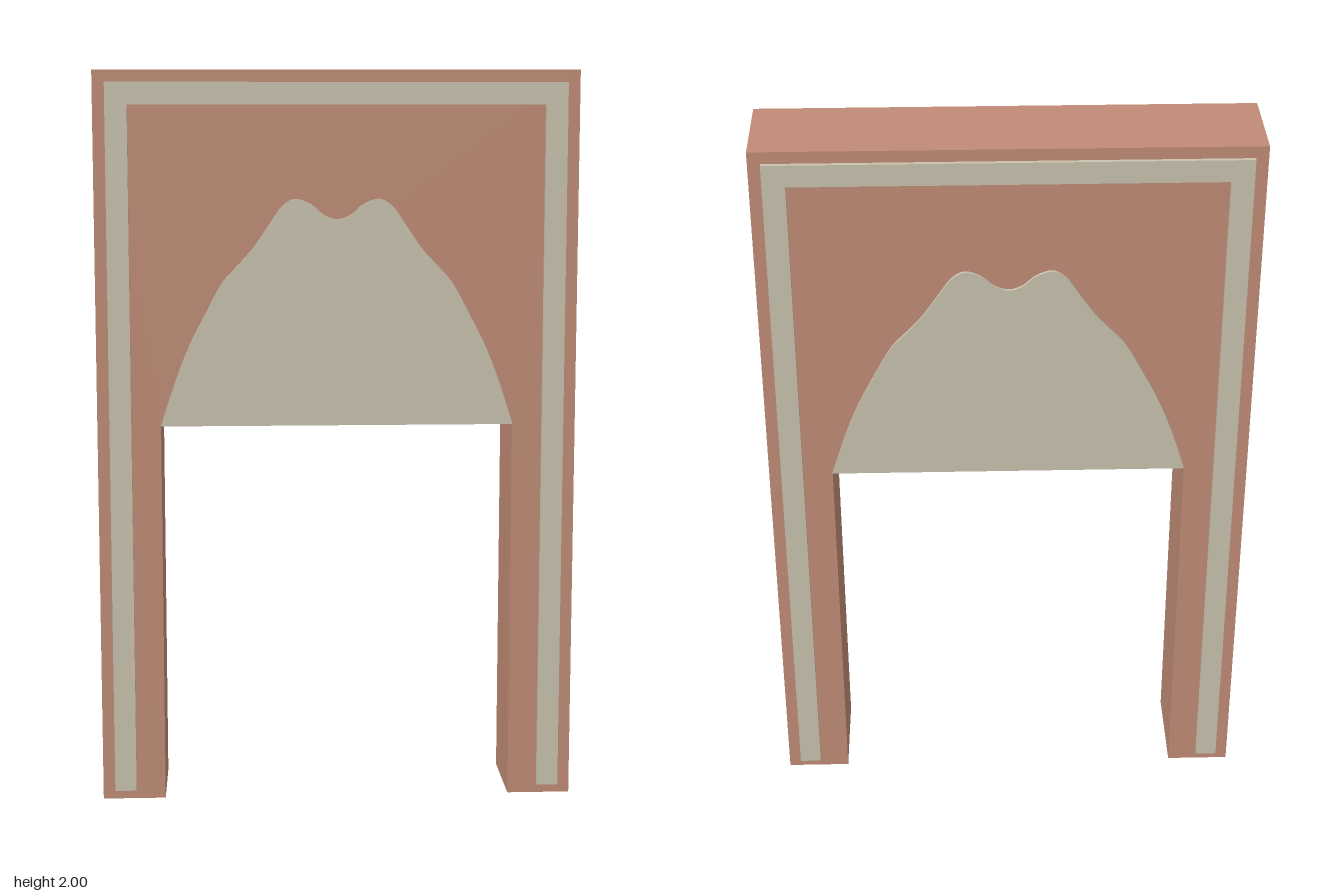
import * as THREE from 'three';

const SPRING_X = 0.478, SPRING_Y = 1.047;

// Left half of the lobed arch, from springing point to centre dip
const HALF_ARCH = [
  [-SPRING_X, SPRING_Y], [-0.44, 1.164], [-0.4, 1.265], [-0.354, 1.355], [-0.31, 1.435],
  [-0.267, 1.483], [-0.225, 1.53], [-0.177, 1.6], [-0.15, 1.638], [-0.114, 1.659],
  [-0.07, 1.645], [-0.035, 1.616], [0, 1.605],
];

// Whole arch curve, mirrored about x = 0 and smoothed
function archPoints() {
  const left = HALF_ARCH.map(([x, y]) => new THREE.Vector2(x, y));
  const right = HALF_ARCH.slice(0, -1).reverse().map(([x, y]) => new THREE.Vector2(-x, y));
  return new THREE.SplineCurve([...left, ...right]).getPoints(96);
}

// Upside-down U made of straight bars
function portalShape(outer, inner, bottom, top, innerTop) {
  return new THREE.Shape([
    [-outer, bottom], [-inner, bottom], [-inner, innerTop], [inner, innerTop],
    [inner, bottom], [outer, bottom], [outer, top], [-outer, top],
  ].map(([x, y]) => new THREE.Vector2(x, y)));
}

// Extruded slab between two depths
function slab(name, shape, z0, z1, material) {
  const geometry = new THREE.ExtrudeGeometry(shape, { depth: z1 - z0, bevelEnabled: false });
  geometry.translate(0, 0, z0);
  const mesh = new THREE.Mesh(geometry, material);
  mesh.name = name;
  return mesh;
}

export function createModel() {
  const group = new THREE.Group();
  group.name = 'archedDoorway';
  const clay = new THREE.MeshStandardMaterial({ color: 0xc08b75 });
  const stone = new THREE.MeshStandardMaterial({ color: 0xc9c2ae });
  const arch = archPoints();

  // Wall with two legs and the lobed opening
  const wall = new THREE.Shape([
    new THREE.Vector2(-0.65, 0), new THREE.Vector2(-SPRING_X, 0), ...arch,
    new THREE.Vector2(SPRING_X, 0), new THREE.Vector2(0.65, 0),
    new THREE.Vector2(0.65, 2), new THREE.Vector2(-0.65, 2),
  ]);
  group.add(slab('frame', wall, -0.13, 0.13, clay));

  // Raised border and thin arch infill on each face, hollow between them
  const border = portalShape(0.617, 0.558, 0.025, 1.968, 1.908);
  const infill = new THREE.Shape(arch);
  for (const [side, s] of [['front', 1], ['back', -1]]) {
    const place = (a, b) => (s > 0 ? [a, b] : [-b, -a]);
    group.add(slab(side + 'Border', border, ...place(0.12, 0.141), stone));
    group.add(slab(side + 'ArchPanel', infill, ...place(0.1, 0.138), stone));
  }
  return group;
}
